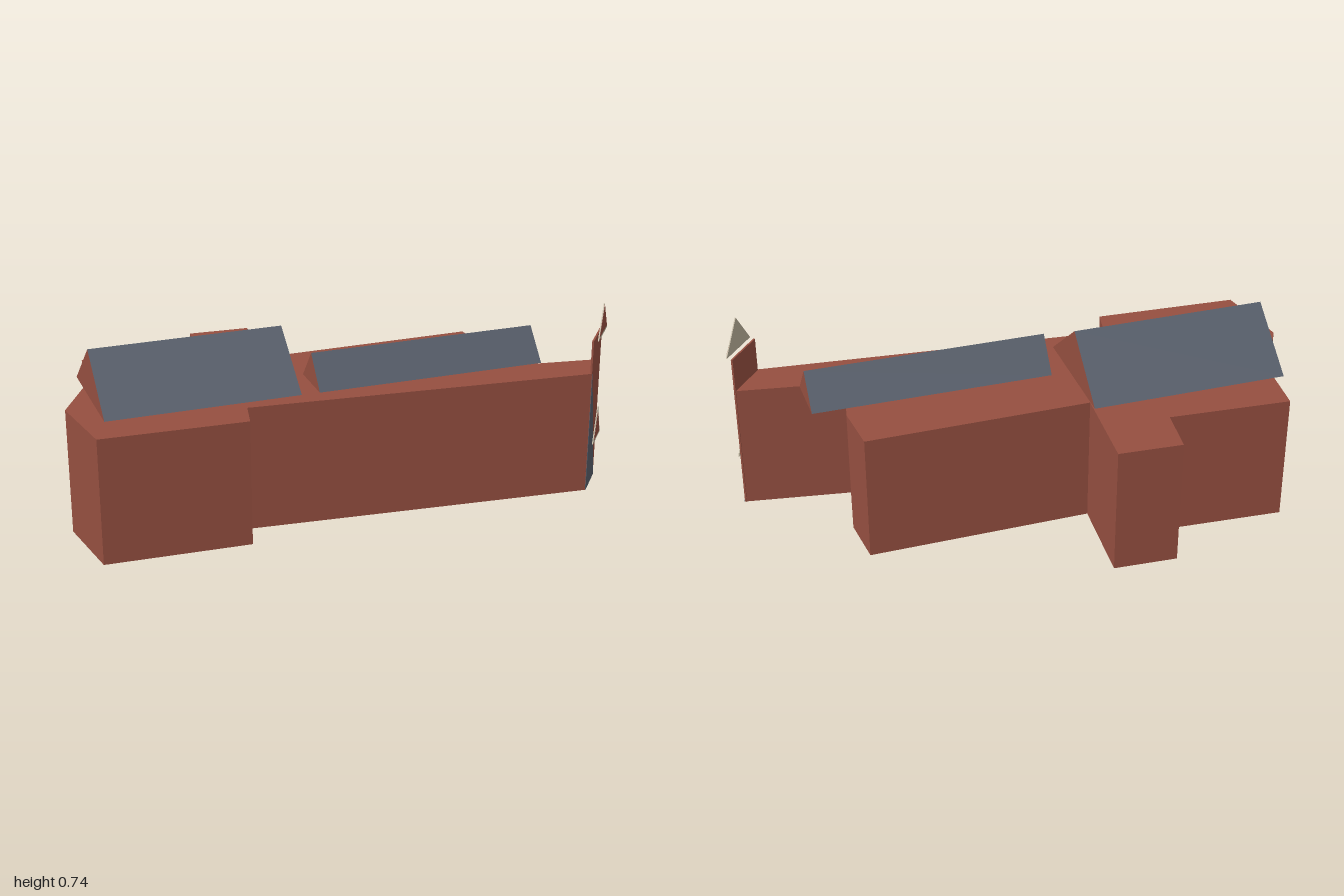
import * as THREE from 'three';

const WALL = 0.48;

function material(name, color) {
  const m = new THREE.MeshStandardMaterial({ color });
  m.name = name;
  return m;
}

function mesh(name, geometry, mat) {
  const m = new THREE.Mesh(geometry, mat);
  m.name = name;
  return m;
}

// Gabled prism: eaves run back-left, back-right, front-right, front-left as [x, z]
function gabledRoof(name, eaves, ridge, height, slate, brick) {
  const [a, b, c, d] = eaves.map(([x, z]) => [x, WALL, z]);
  const [l, r] = ridge.map(([x, z]) => [x, height, z]);
  const slopes = [a, l, r, a, r, b, d, c, r, d, r, l, a, b, c, a, c, d];
  const gables = [a, d, l, c, b, r];
  const g = new THREE.BufferGeometry();
  g.setAttribute('position', new THREE.Float32BufferAttribute([...slopes, ...gables].flat(), 3));
  g.addGroup(0, slopes.length, 0);
  g.addGroup(slopes.length, gables.length, 1);
  g.computeVertexNormals();
  return mesh(name, g, [slate, brick]);
}

// Thin upright plate cut from an outline
function plate(name, points, z, depth, mat) {
  const shape = new THREE.Shape(points.map(([x, y]) => new THREE.Vector2(x, y)));
  const g = new THREE.ExtrudeGeometry(shape, { depth, bevelEnabled: false });
  g.translate(0, 0, z);
  return mesh(name, g, mat);
}

// Stone triangle with a brick panel set on its face
function pediment(name, cx, half, base, apex, border, brick, stone) {
  const group = new THREE.Group();
  group.name = name;
  const [side, foot, top] = border;
  group.add(
    plate('stoneSurround', [[cx - half, base], [cx + half, base], [cx, apex]], 0.015, 0.004, stone),
    plate('brickPanel', [[cx - half + side, base + foot], [cx + half - side, base + foot], [cx, apex - top]], 0.019, 0.001, brick),
  );
  return group;
}

export function createModel() {
  const brick = material('brick', 0x954f40);
  const slate = material('slate', 0x565d69);
  const stone = material('stone', 0xb8ae98);
  const model = new THREE.Group();
  model.name = 'building';

  // Walls: the ground plan as [x, z], raised to the eaves
  const plan = [
    [-1, -0.155], [-0.58, -0.315], [-0.635, -0.487], [-0.417, -0.572], [-0.295, -0.25],
    [0.45, -0.6], [0.545, -0.44], [0.6, -0.22], [0.98, -0.327], [0.94, -0.165],
    [-0.305, 0.272], [-0.278, 0.395], [-0.78, 0.597], [-0.947, 0.347], [-0.926, 0.06],
  ];
  const shape = new THREE.Shape(plan.map(([x, z]) => new THREE.Vector2(x, -z)));
  const walls = new THREE.ExtrudeGeometry(shape, { depth: WALL, bevelEnabled: false });
  walls.rotateX(-Math.PI / 2);
  model.add(mesh('walls', walls, brick));

  // Roofs
  model.add(gabledRoof('mainRoof',
    [[-0.98, 0.02], [-0.315, -0.29], [-0.123, 0.134], [-0.786, 0.44]],
    [[-0.882, 0.23], [-0.22, -0.078]], 0.67, slate, brick));
  model.add(gabledRoof('wingRoof',
    [[-0.14, -0.075], [0.668, -0.445], [0.754, -0.267], [-0.06, 0.106]],
    [[-0.1, 0.016], [0.711, -0.356]], 0.6, slate, brick));

  // Entrance front on the narrow end, built facing local +z
  const entrance = new THREE.Group();
  entrance.name = 'entranceFront';
  entrance.position.set(0.96, 0, -0.246);
  entrance.rotation.y = Math.atan2(0.162, 0.04);
  const w = 0.083;
  entrance.add(
    plate('parapetWall', [[-w, 0], [w, 0], [w, 0.61], [-w, 0.61]], -0.006, 0.007, brick),
    plate('slatePanel', [[-w, 0], [w, 0], [-w, WALL]], 0.001, 0.002, slate),
    pediment('topPediment', 0, 0.086, 0.612, 0.735, [0.009, 0.011, 0.006], brick, stone),
    pediment('doorPediment', -0.001, 0.071, 0.188, 0.318, [0.015, 0.011, 0.02], brick, stone),
  );
  model.add(entrance);
  return model;
}
